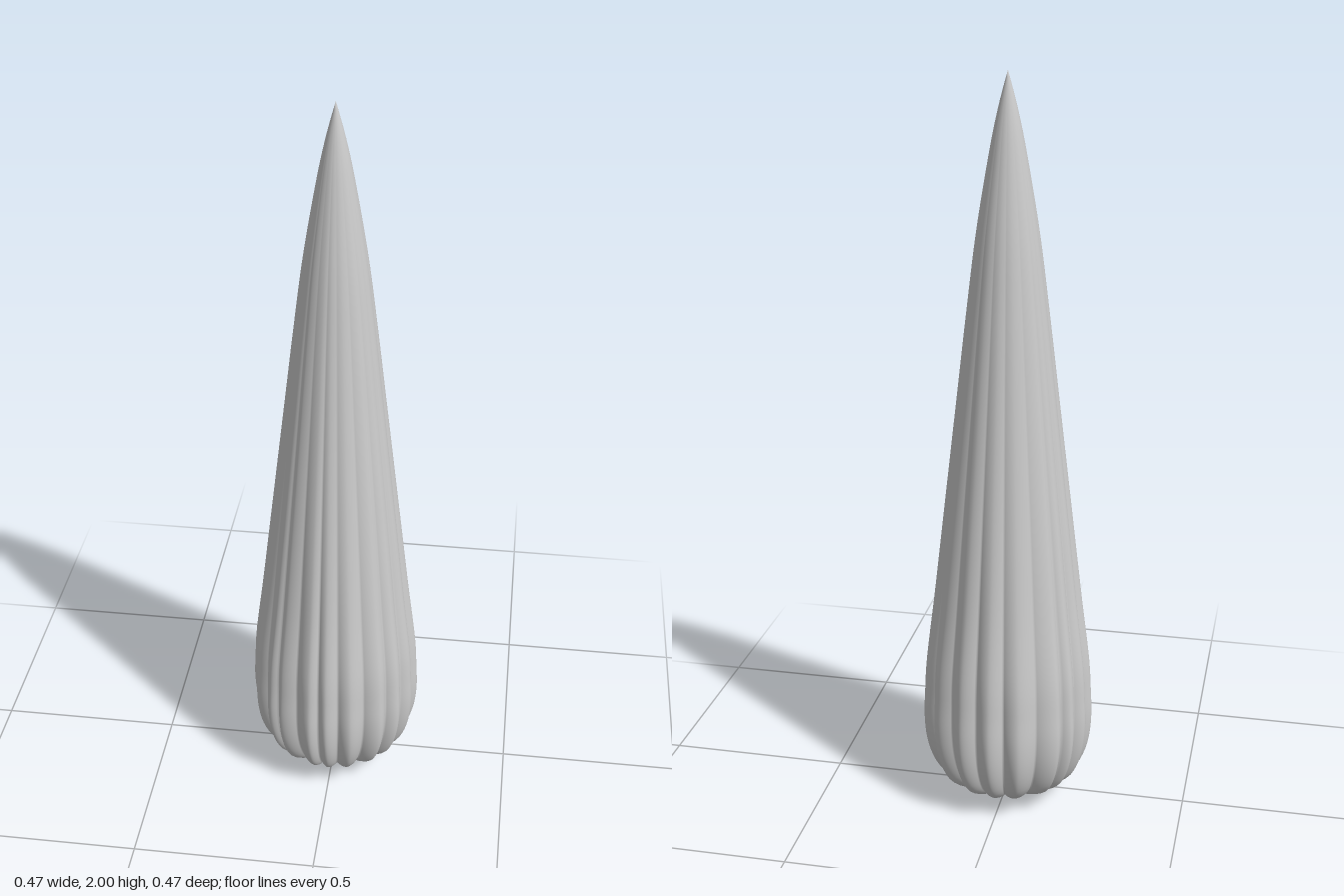
import * as THREE from 'three';
import { mergeVertices } from 'three/addons/utils/BufferGeometryUtils.js';

// Outline of the closed spire: radius, height
const PROFILE = [
  [0, 0], [0.07, 0.012], [0.135, 0.032], [0.185, 0.065], [0.213, 0.11], [0.23, 0.17], [0.236, 0.24],
  [0.233, 0.32], [0.226, 0.42], [0.203, 0.6], [0.179, 0.8], [0.155, 1.0], [0.131, 1.2],
  [0.107, 1.4], [0.081, 1.6], [0.047, 1.8], [0.024, 1.91], [0, 2],
];

// Directions of the fold crests in degrees, measured from +x towards +z
const CRESTS = [0, 18, 35, 51, 73, 90, 102, 124, 135, 155, 178, 195, 211, 224, 252, 272, 292, 314, 338];

// 0 on a crest, 1 in the groove between two crests; wide folds are cut deeper
function grooveAt(deg) {
  let i = CRESTS.length - 1;
  while (CRESTS[i] > deg) i--;
  const a = CRESTS[i];
  const b = i + 1 < CRESTS.length ? CRESTS[i + 1] : 360;
  const t = 1 - Math.abs((deg - a) / (b - a) * 2 - 1);
  return Math.pow(t, 1.7) * (0.65 + 0.35 * Math.min(1, (b - a) / 20));
}

export function createModel() {
  const group = new THREE.Group();
  const curve = new THREE.SplineCurve(PROFILE.map(([r, y]) => new THREE.Vector2(r, y)));
  const points = curve.getSpacedPoints(110);
  points.forEach((p) => { p.x = Math.max(p.x, 0); });
  points[0].set(0, 0);
  points[points.length - 1].set(0, 2);
  let geometry = new THREE.LatheGeometry(points, 360);

  // Press the lengthwise grooves in, fading towards the tip
  const pos = geometry.attributes.position;
  for (let i = 0; i < pos.count; i++) {
    const x = pos.getX(i), y = pos.getY(i), z = pos.getZ(i);
    const deg = (Math.round(Math.atan2(z, x) * 180 / Math.PI * 100) / 100 + 360) % 360;
    const depth = 0.06 * (1 - y / 2) + 0.09 * Math.exp(-y / 0.3);
    const k = 1 - depth * grooveAt(deg);
    pos.setXYZ(i, x * k, y, z * k);
  }

  // Join the seam so the shading runs smoothly all round
  geometry.deleteAttribute('normal');
  geometry.deleteAttribute('uv');
  geometry = mergeVertices(geometry, 1e-5);
  geometry.computeVertexNormals();

  const spire = new THREE.Mesh(geometry, new THREE.MeshStandardMaterial({ color: 0xcccccc }));
  spire.name = 'flutedSpire';
  group.add(spire);
  return group;
}
